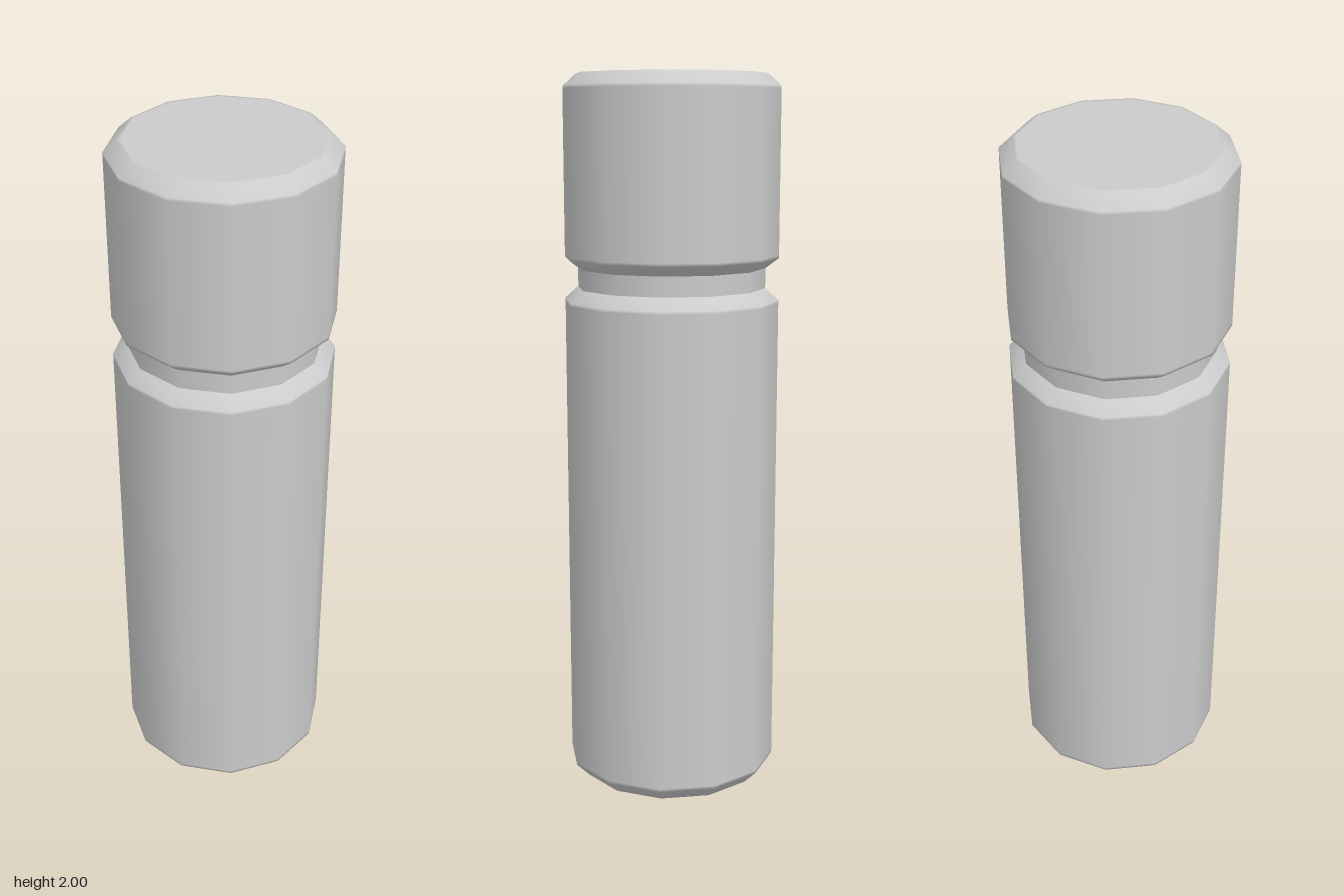
import * as THREE from 'three';

const SIDES = 12;
const OUTER = 0.3;
const INNER = 0.263;
const BEVEL = 0.033;
const SUPPORT = 0.008; // narrow loops that keep the flats shaded flat

export function createModel() {
  const group = new THREE.Group();
  const material = new THREE.MeshStandardMaterial({ color: 0xcccccc });

  const addLathe = (name, points) => {
    const profile = points.map(([r, y]) => new THREE.Vector2(r, y));
    const mesh = new THREE.Mesh(new THREE.LatheGeometry(profile, SIDES), material);
    mesh.name = name;
    group.add(mesh);
  };

  // Closed twelve-sided drum with softly shaded bevels at both ends
  const addDrum = (name, y0, y1, lower, upper) => addLathe(name, [
    [0, y0], [INNER - SUPPORT, y0], [INNER, y0],
    [OUTER, y0 + lower], [OUTER, y0 + lower + SUPPORT],
    [OUTER, y1 - upper - SUPPORT], [OUTER, y1 - upper],
    [INNER, y1], [INNER - SUPPORT, y1], [0, y1],
  ]);

  // Long lower body
  addDrum('body', 0, 1.42, 0.037, BEVEL);

  // Recessed neck between body and cap
  addLathe('neck', [[INNER, 1.42], [INNER, 1.475]]);

  // Short upper cap
  addDrum('cap', 1.475, 2, 0.028, BEVEL);

  return group;
}
